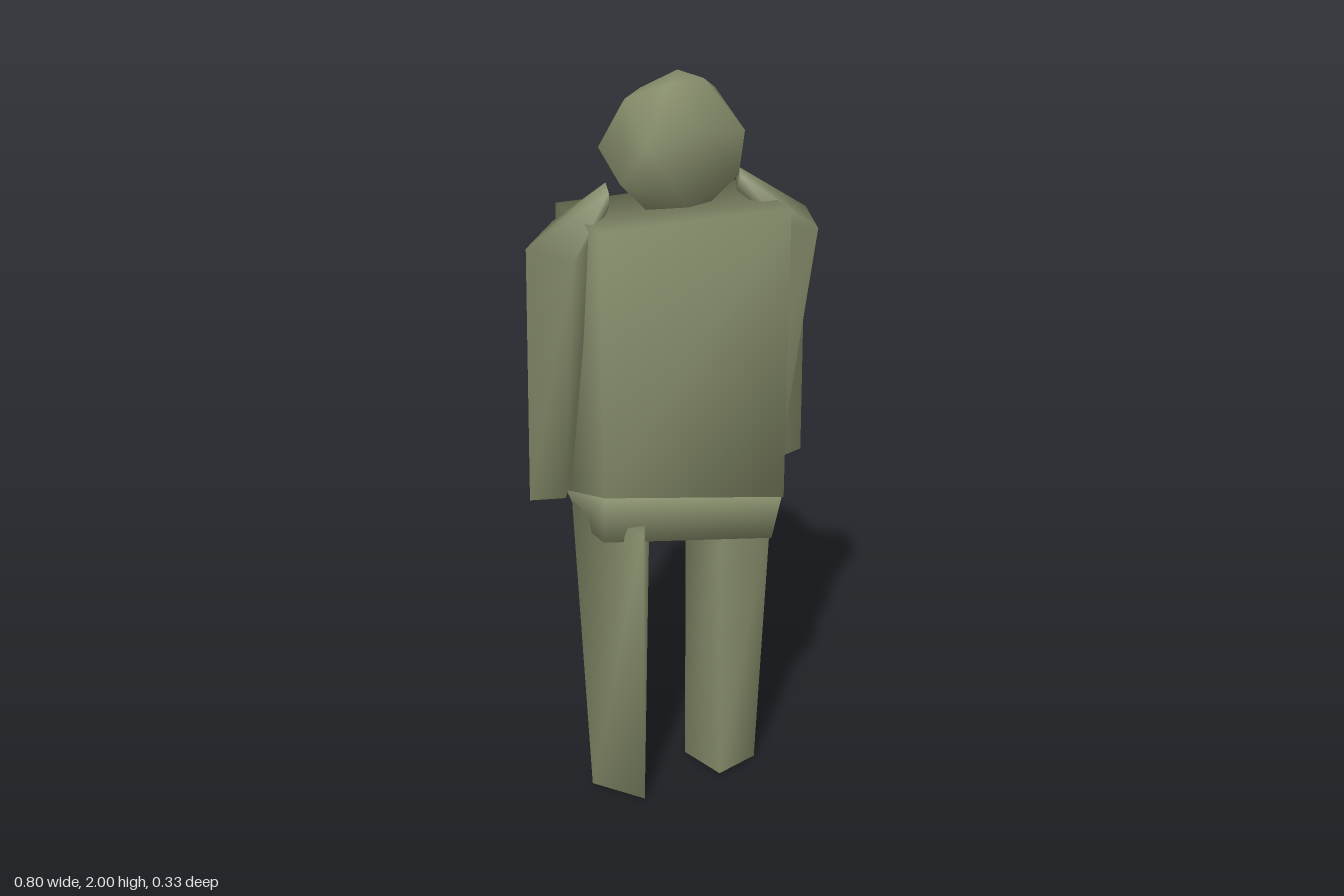
import * as THREE from 'three';
import { mergeVertices } from 'three/addons/utils/BufferGeometryUtils.js';
import { ConvexGeometry } from 'three/addons/geometries/ConvexGeometry.js';

const material = new THREE.MeshStandardMaterial({ color: 0x858c6a });

// Smooth skin between closed sections, listed bottom to top; corners run +x, -z, -x, +z.
function loft(sections) {
  const n = sections[0].length, top = (sections.length - 1) * n, index = [];
  for (let i = 0; i < sections.length - 1; i++) {
    for (let j = 0; j < n; j++) {
      const a = i * n + j, b = i * n + (j + 1) % n;
      index.push(a, b, b + n, a, b + n, a + n);
    }
  }
  for (let j = 1; j < n - 1; j++) {
    index.push(0, j + 1, j, top, top + j, top + j + 1);
  }
  const geometry = new THREE.BufferGeometry();
  geometry.setAttribute('position', new THREE.Float32BufferAttribute(sections.flat(2), 3));
  geometry.setIndex(index);
  geometry.computeVertexNormals();
  return geometry;
}

export function createModel() {
  const group = new THREE.Group();
  const add = (name, geometry) => {
    const mesh = new THREE.Mesh(geometry, material);
    mesh.name = name;
    group.add(mesh);
  };

  // Faceted, rounded head
  const headPoints = [
    [-0.04, 2, 0.05], [0.07, 2, 0.02], [0.05, 2, -0.09], [-0.05, 1.965, -0.09],
    [-0.13, 1.965, 0], [0.12, 1.965, -0.02], [0.06, 1.95, -0.15], [-0.07, 1.91, -0.165],
    [0, 1.9, 0.165], [-0.13, 1.87, 0.125], [0.165, 1.87, 0.06], [0.12, 1.88, -0.13],
    [-0.17, 1.83, -0.08], [0.185, 1.83, 0], [-0.17, 1.77, 0.06], [0.15, 1.76, 0.06],
    [0.06, 1.76, -0.165], [-0.11, 1.75, -0.12], [0.16, 1.76, -0.05],
    [-0.09, 1.69, 0.03], [0.09, 1.69, 0.03], [0, 1.7, 0.085], [0.04, 1.685, -0.09], [0, 1.675, 0],
  ].map(p => new THREE.Vector3(...p));
  let head = new ConvexGeometry(headPoints);
  head.deleteAttribute('normal');
  head = mergeVertices(head, 0.001);
  head.computeVertexNormals();
  add('head', head);

  // Boxy jacket with a hem that rises at two opposite corners
  add('torso', loft([
    [[0.26, 0.88, 0.137], [0.25, 0.97, -0.135], [-0.26, 0.88, -0.15], [-0.25, 0.97, 0.12]],
    [[0.26, 1.68, 0.137], [0.26, 1.68, -0.15], [-0.26, 1.68, -0.15], [-0.26, 1.68, 0.137]],
  ]));
  // Hips, cut in under the raised hem corners
  add('hips', loft([
    [[0.23, 0.76, 0.13], [0.225, 0.8, -0.07], [-0.21, 0.765, -0.14], [-0.23, 0.81, 0.06]],
    [[0.257, 0.89, 0.136], [0.249, 0.975, -0.134], [-0.257, 0.89, -0.145], [-0.249, 0.975, 0.119]],
  ]));

  // Arms: cuff, shoulder, then a point beside the neck
  add('leftArm', loft([
    [[0.395, 0.93, -0.025], [0.275, 0.97, -0.13], [0.255, 0.93, -0.06], [0.32, 0.93, 0]],
    [[0.38, 1.63, -0.01], [0.27, 1.67, -0.03], [0.25, 1.63, 0.1], [0.35, 1.61, 0.115]],
    [[0.18, 1.76, 0], [0.18, 1.74, -0.02], [0.175, 1.7, 0], [0.18, 1.74, 0.01]],
  ]));
  add('rightArm', loft([
    [[-0.255, 0.94, -0.09], [-0.32, 0.97, -0.135], [-0.4, 0.93, -0.025], [-0.31, 0.93, 0]],
    [[-0.23, 1.64, 0.04], [-0.31, 1.67, -0.04], [-0.4, 1.625, 0.01], [-0.32, 1.61, 0.12]],
    [[-0.175, 1.7, 0], [-0.18, 1.74, -0.02], [-0.18, 1.76, -0.01], [-0.18, 1.74, 0.01]],
  ]));

  // Tapering legs: the left four-sided, the right three-sided
  add('leftLeg', loft([
    [[0.24, 0, 0.035], [0.19, 0, -0.075], [0.065, 0, -0.065], [0.11, 0, 0.075]],
    [[0.232, 0.85, 0.12], [0.21, 0.85, -0.09], [0.065, 0.85, -0.065], [0.11, 0.85, 0.06]],
  ]));
  add('rightLeg', loft([
    [[-0.07, 0, -0.07], [-0.24, 0, -0.03], [-0.135, 0, 0.1]],
    [[-0.045, 0.85, -0.06], [-0.243, 0.85, -0.13], [-0.15, 0.85, 0.135]],
  ]));

  return group;
}
